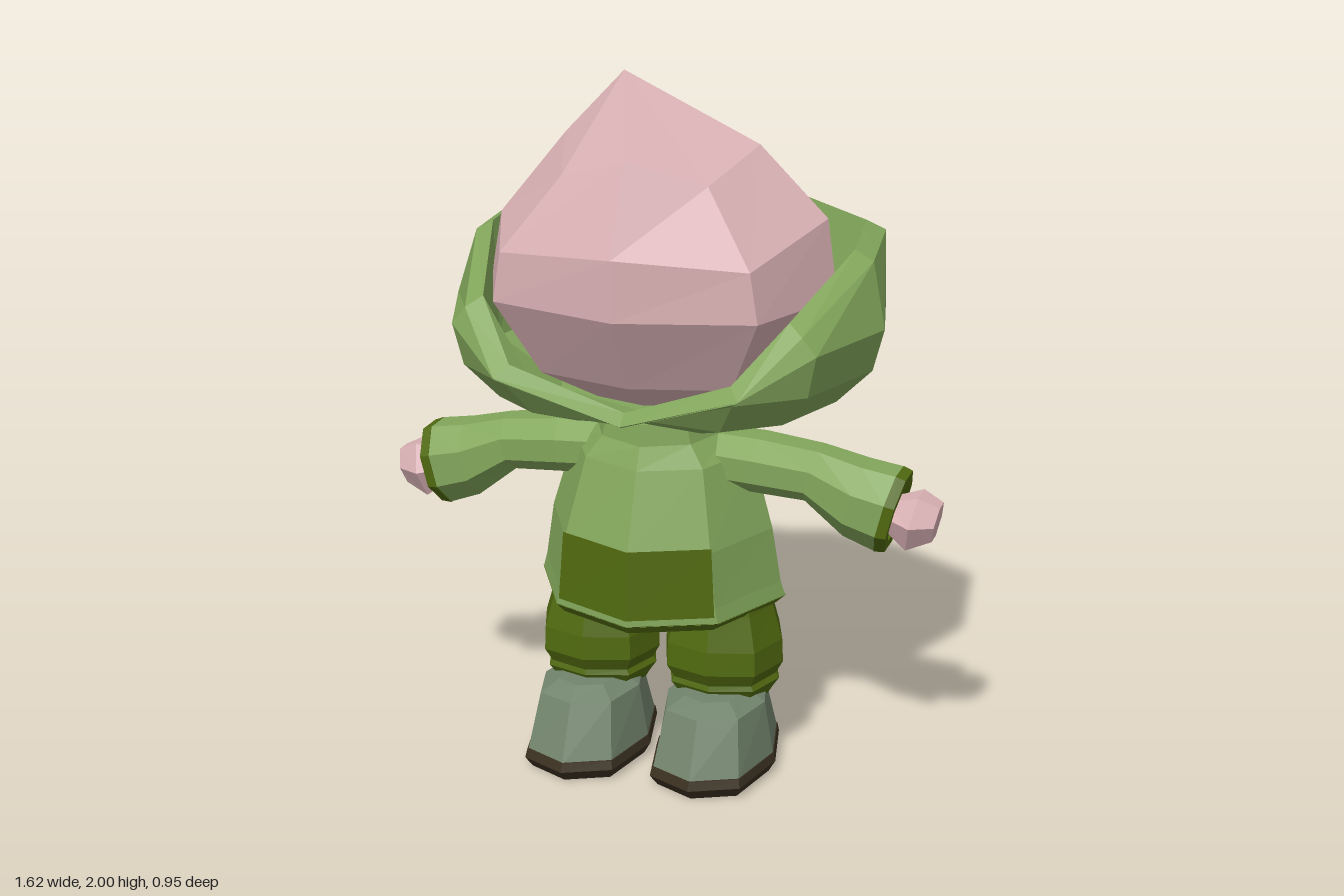
import * as THREE from 'three';

const mat = (name, color) => {
  const m = new THREE.MeshStandardMaterial({ color });
  m.name = name;
  return m;
};
const V = (x, y, z) => new THREE.Vector3(x, y, z);

// Flat-faced skin over a series of rings; closed rings are capped at both ends.
function loft(rings, closed = true) {
  const pos = [];
  const tri = (a, b, c) => {
    const area = b.clone().sub(a).cross(c.clone().sub(a)).length();
    if (area > 1e-7) for (const p of [a, b, c]) pos.push(p.x, p.y, p.z);
  };
  const n = rings[0].length, cols = closed ? n : n - 1;
  for (let i = 0; i < rings.length - 1; i++) {
    for (let j = 0; j < cols; j++) {
      const k = (j + 1) % n, lo = rings[i], hi = rings[i + 1];
      tri(lo[j], lo[k], hi[k]);
      tri(lo[j], hi[k], hi[j]);
    }
  }
  if (closed) {
    for (const [ring, end] of [[rings[0], false], [rings[rings.length - 1], true]]) {
      const c = ring.reduce((s, p) => s.add(p), V(0, 0, 0)).divideScalar(n);
      for (let j = 0; j < n; j++) {
        const a = ring[j], b = ring[(j + 1) % n];
        end ? tri(c, a, b) : tri(c, b, a);
      }
    }
  }
  const g = new THREE.BufferGeometry();
  g.setAttribute('position', new THREE.Float32BufferAttribute(pos, 3));
  g.computeVertexNormals();
  return g;
}

const mirror = rings => rings.map(r => r.map(p => V(-p.x, p.y, p.z)).reverse());

// Horizontal eight-point ring: four middles and four corners, from the front round by +x.
function ring8(y, hx, zf, zb, { cx = 0, kx = 0.74, kz = 0.76, tilt = 0 } = {}) {
  const c = (zf + zb) / 2, h = (zf - zb) / 2;
  return [[0, 1], [kx, kz], [1, 0], [kx, -kz], [0, -1], [-kx, -kz], [-1, 0], [-kx, kz]]
    .map(([x, z]) => V(cx + x * hx, y + tilt * z * h, c + z * h));
}
const stack = (rows, opt) => rows.map(r => ring8(...r, opt));

// Upright ring across an arm, leaning outward at the top.
function armRing(x, y, hh, hd, z = 0.035, lean = 0.25, sides = 8) {
  return Array.from({ length: sides }, (_, i) => {
    const a = (i + 0.5) / sides * Math.PI * 2;
    const dy = Math.cos(a) * hh * 1.06;
    return V(x + lean * dy, y + dy, z + Math.sin(a) * hd * 1.06);
  });
}

export function createModel() {
  const pink = mat('pink skin', 0xd9b1b4);
  const green = mat('leaf green cloth', 0x82a65b);
  const olive = mat('dark olive cloth', 0x50690f);
  const grey = mat('grey green boot', 0x72846d);
  const brown = mat('dark brown sole', 0x3b3121);

  const model = new THREE.Group();
  const add = (name, geometry, material) => {
    const m = new THREE.Mesh(geometry, material);
    m.name = name;
    model.add(m);
  };
  const addPair = (name, rings, material) => {
    add('left ' + name, loft(rings), material);
    add('right ' + name, loft(mirror(rings)), material);
  };

  // Head: faceted bulb with an off-centre peak
  const head = stack([
    [1.1, 0.2, 0.2, -0.14],
    [1.19, 0.37, 0.34, -0.26],
    [1.41, 0.505, 0.47, -0.39],
    [1.58, 0.475, 0.47, -0.39],
    [1.82, 0.28, 0.35, -0.28],
  ]);
  head[3][2].y = 1.63;
  for (const j of [1, 3, 5, 7]) {
    head[3][j].y = 1.55;
    head[4][j].y = 1.75;
  }
  head.push(Array.from({ length: 8 }, () => V(-0.11, 2, 0.03)));
  add('head', loft(head), pink);

  // Hood: open bowl, low at the front; each column is [wide x, wide z, rim x, rim y, rim z]
  const half = [
    [0, 0.39, 0, 1.1, 0.4],
    [0.34, 0.45, 0.345, 1.22, 0.45],
    [0.52, 0.31, 0.48, 1.37, 0.31],
    [0.63, 0, 0.585, 1.5, -0.04],
    [0.57, -0.26, 0.56, 1.53, -0.28],
    [0.26, -0.41, 0.24, 1.57, -0.45],
    [0, -0.44, 0, 1.6, -0.48],
  ];
  const columns = [...half, ...half.slice(1, 6).reverse().map(c => [-c[0], c[1], -c[2], c[3], c[4]])];
  const hoodRing = (y, s) => columns.map(c => V(c[0] * s, Math.min(y, c[3] - 0.005), c[1] * s));
  const rimRing = (s, dy) => columns.map(c => V(c[2] * s, c[3] + dy, c[4] * s));
  add('hood', loft([
    hoodRing(1.05, 0.53), hoodRing(1.1, 0.79), hoodRing(1.2, 0.95), hoodRing(1.32, 1),
    rimRing(1, 0), rimRing(0.91, 0.03), hoodRing(1.2, 0.8), hoodRing(1.08, 0.5),
  ]), green);

  // Tunic with a dark hem and front pocket
  const cut = { kx: 0.65, kz: 0.72, tilt: -0.05 };
  const tunic = stack([
    [0.515, 0.368, 0.36, -0.3],
    [0.56, 0.355, 0.355, -0.285],
    [0.72, 0.33, 0.345, -0.265],
    [0.94, 0.265, 0.265, -0.21],
    [1.0, 0.2, 0.235, -0.17],
    [1.06, 0.18, 0.225, -0.14],
  ], cut);
  add('tunic', loft(tunic), green);
  add('tunic hem', loft(stack([
    [0.49, 0.34, 0.34, -0.28], [0.517, 0.369, 0.361, -0.301],
  ], cut)), olive);
  const patch = [[0.535, 0.355, 0.362, -0.285], [0.735, 0.336, 0.35, -0.265]]
    .map(r => ring8(...r, cut));
  add('pocket', loft(patch.map(r => [r[7], r[0], r[1]]), false), olive);

  // Sleeves, cuffs and hands
  addPair('sleeve', [
    armRing(0.16, 0.92, 0.08, 0.1),
    armRing(0.28, 0.915, 0.08, 0.105),
    armRing(0.45, 0.9, 0.075, 0.1),
    armRing(0.57, 0.84, 0.105, 0.115),
    armRing(0.665, 0.815, 0.115, 0.115),
  ], green);
  addPair('cuff', [
    armRing(0.663, 0.815, 0.116, 0.117),
    armRing(0.692, 0.81, 0.11, 0.112),
    armRing(0.69, 0.805, 0.075, 0.08),
    armRing(0.66, 0.81, 0.07, 0.075),
  ], olive);
  addPair('hand', [
    armRing(0.65, 0.8, 0.04, 0.04, 0.02, 0.2, 6),
    armRing(0.735, 0.785, 0.085, 0.08, 0.02, 0.2, 6),
    armRing(0.8, 0.785, 0.055, 0.05, 0.02, 0.2, 6),
  ], pink);

  // Baggy trousers gathered at the ankle
  addPair('trouser leg', stack([
    [0.2, 0.13, 0.14, -0.1],
    [0.225, 0.145, 0.165, -0.115],
    [0.255, 0.165, 0.185, -0.135],
    [0.27, 0.155, 0.18, -0.13],
    [0.31, 0.177, 0.203, -0.145],
    [0.38, 0.174, 0.2, -0.14],
    [0.48, 0.145, 0.175, -0.115],
    [0.58, 0.13, 0.16, -0.1],
  ], { cx: 0.187 }), olive);

  // Boots with wide soles
  const boot = { cx: 0.19 };
  addPair('boot', stack([
    [0.055, 0.172, 0.372, -0.143],
    [0.215, 0.145, 0.3, -0.075],
    [0.245, 0.09, 0.24, -0.03],
  ], boot), grey);
  addPair('boot sole', stack([
    [0, 0.16, 0.355, -0.125],
    [0.035, 0.18, 0.385, -0.15],
    [0.06, 0.174, 0.376, -0.146],
  ], boot), brown);

  return model;
}
